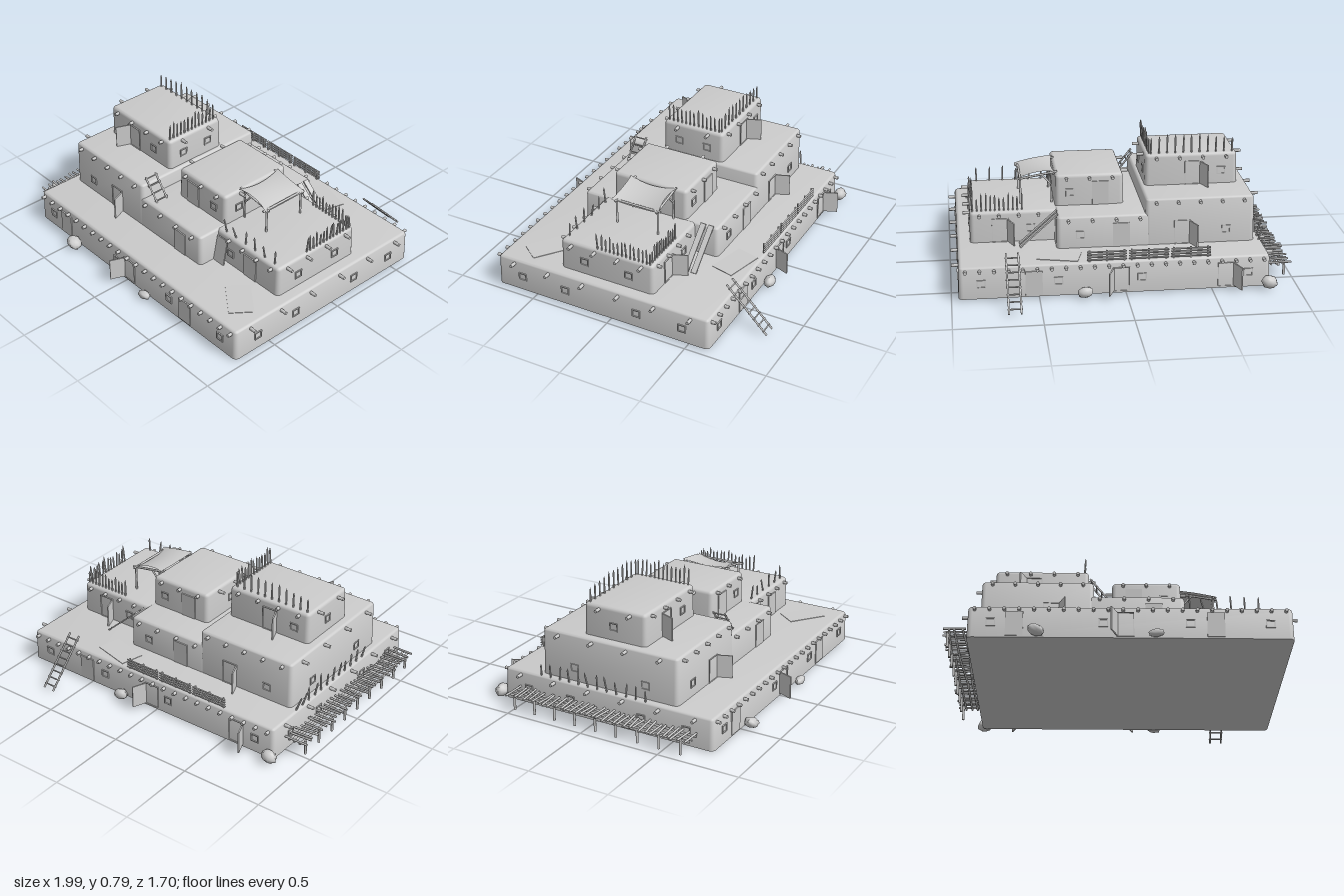
import * as THREE from 'three';
import { toCreasedNormals } from 'three/addons/utils/BufferGeometryUtils.js';

const MAT = new THREE.MeshStandardMaterial({ color: 0xcccccc, roughness: 0.9 });
const THIN = new THREE.MeshStandardMaterial({ color: 0xcccccc, roughness: 0.9, side: THREE.DoubleSide });
const V = (x, y, z) => new THREE.Vector3(x, y, z);
const UP = V(0, 1, 0);
const span = (a, b, n) => Array.from({ length: n }, (_, i) => a + (b - a) * i / (n - 1));

let seed = 7;
const rnd = (a, b) => {
  seed = (seed * 16807) % 2147483647;
  return a + (b - a) * (seed / 2147483647);
};

function add(parent, name, geo, mat = MAT) {
  const m = new THREE.Mesh(geo, mat);
  m.name = name;
  parent.add(m);
  return m;
}
function group(parent, name) {
  const g = new THREE.Group();
  g.name = name;
  parent.add(g);
  return g;
}
// Stand a mesh along the line from a to b
function align(m, a, b) {
  m.position.lerpVectors(a, b, 0.5);
  m.quaternion.setFromUnitVectors(UP, b.clone().sub(a).normalize());
}
const pole = (parent, name, a, b, r = 0.006) =>
  align(add(parent, name, new THREE.CylinderGeometry(r, r, a.distanceTo(b), 6)), a, b);
const plank = (parent, a, b, w, d) =>
  align(add(parent, 'plank', new THREE.BoxGeometry(w, a.distanceTo(b), d)), a, b);

// Row of sharpened stakes from a to b, each leaning by a random share of leanX and leanZ
function stakes(parent, a, b, n, height, leanX, leanZ) {
  for (const t of span(0, 1, n)) {
    const h = height * rnd(0.68, 1), r = 0.0055;
    const profile = [[0, -0.02], [r, -0.02], [r, h * 0.8], [0, h]].map(p => new THREE.Vector2(...p));
    const m = add(parent, 'stake', toCreasedNormals(new THREE.LatheGeometry(profile, 6), 0.4));
    m.position.lerpVectors(a, b, t);
    m.rotation.set(leanX * rnd(-1, 1), 0, leanZ * rnd(-0.3, 1));
  }
}

// Mud-brick block: stacked rounded-rectangle rings with a soft roof edge
function blockGeometry({ x0, x1, y0, y1, z0, z1 }) {
  const r = 0.02, rc = 0.028, n = 20, pos = [], idx = [];
  const levels = [[y0, 0]];
  for (const a of span(0, Math.PI / 2, 5))
    levels.push([y1 - r + r * Math.sin(a), 0.004 + r * (1 - Math.cos(a))]);
  for (const [y, inset] of levels)
    for (let c = 0; c < 4; c++)
      for (const a of span(c * Math.PI / 2, (c + 1) * Math.PI / 2, 5)) {
        const cx = c === 0 || c === 3 ? x1 - rc : x0 + rc;
        const cz = c < 2 ? z1 - rc : z0 + rc;
        pos.push(cx + (rc - inset) * Math.cos(a), y, cz + (rc - inset) * Math.sin(a));
      }
  const top = (levels.length - 1) * n;
  for (let l = 0; l < top; l += n)
    for (let i = 0; i < n; i++) {
      const a = l + i, b = l + (i + 1) % n;
      idx.push(a, a + n, b, b, a + n, b + n);
    }
  for (let i = 1; i < n - 1; i++) idx.push(top, top + i + 1, top + i, 0, i, i + 1);
  const g = new THREE.BufferGeometry();
  g.setAttribute('position', new THREE.Float32BufferAttribute(pos, 3));
  g.setIndex(idx);
  return toCreasedNormals(g, 0.7);
}

// Rectangular frame around a door or window
function frame(parent, w, h, t) {
  const corners = (a, c) => [[-a, -c], [a, -c], [a, c], [-a, c]].map(p => new THREE.Vector2(...p));
  const s = new THREE.Shape(corners(w / 2, h / 2));
  s.holes.push(new THREE.Path(corners(w / 2 - t, h / 2 - t)));
  add(parent, 'frame', new THREE.ExtrudeGeometry(s, { depth: 0.014, bevelEnabled: false })).position.z = -0.01;
}

// One storey: walls plus helpers that fit windows, doors and beam ends to its sides
function storey(root, name, low, high) {
  const g = group(root, name);
  const b = { x0: low.x, x1: high.x, y0: low.y, y1: high.y, z0: low.z, z1: high.z };
  const sill = b.y0 + 0.012;
  add(g, 'walls', blockGeometry(b));
  // Group on a wall, its +z pointing outward
  const onWall = (side, u, y, part) => {
    const w = group(g, part), alongX = side === 'front' || side === 'back';
    if (alongX) w.position.set(u, y, side === 'front' ? b.z1 : b.z0);
    else w.position.set(side === 'right' ? b.x1 : b.x0, y, u);
    w.rotation.y = { front: 0, back: Math.PI, right: Math.PI / 2, left: -Math.PI / 2 }[side];
    return w;
  };
  return {
    windows(side, ...us) {
      for (const u of us) frame(onWall(side, u, sill + 0.078, 'window'), 0.052, 0.048, 0.006);
      return this;
    },
    // hinge -1 or 1 swings the leaf open on that side, 0 keeps it shut
    door(side, u, hinge = 0) {
      const d = onWall(side, u, sill + 0.07, 'door');
      frame(d, 0.098, 0.146, 0.004);
      const leaf = add(d, 'doorLeaf', new THREE.BoxGeometry(0.09, 0.138, 0.008).translate(-hinge * 0.045, 0, 0));
      leaf.position.x = hinge * 0.045;
      leaf.rotation.y = hinge * 1.95;
      return this;
    },
    // beam ends spaced evenly along the given sides
    beams(pitch, out, ...sides) {
      for (const side of sides) {
        const [a, c] = side === 'front' || side === 'back' ? [b.x0, b.x1] : [b.z0, b.z1];
        const n = Math.round((c - a) / pitch), edge = (c - a) / n / 2;
        for (const u of span(a + edge, c - edge, n)) {
          const peg = add(onWall(side, u, b.y1 - 0.023, 'roofBeam'), 'beamEnd', new THREE.CylinderGeometry(0.01, 0.01, out + 0.03, 7));
          peg.rotation.x = Math.PI / 2;
          peg.position.z = (out - 0.03) / 2;
        }
      }
      return this;
    },
  };
}

function ladder(parent, name, foot, head, across, rungs) {
  const g = group(parent, name);
  for (const s of [-0.5, 0.5])
    pole(g, 'rail', foot.clone().addScaledVector(across, s), head.clone().addScaledVector(across, s));
  for (const t of span(0.08, 0.92, rungs)) {
    const c = foot.clone().lerp(head, t);
    pole(g, 'rung', c.clone().addScaledVector(across, -0.62), c.clone().addScaledVector(across, 0.62), 0.0045);
  }
}

function boulder(parent, x, z, sx, sy, sz, tilt) {
  const rock = new THREE.SphereGeometry(1, 10, 7), p = rock.attributes.position, v = V(0, 0, 0);
  for (let i = 0; i < p.count; i++) {
    v.fromBufferAttribute(p, i);
    v.multiplyScalar(1 + 0.1 * Math.sin(3 * v.x + 5 * v.y + x * 9) * Math.cos(4 * v.z));
    p.setXYZ(i, v.x, v.y, v.z);
  }
  rock.computeVertexNormals();
  const m = add(parent, 'boulder', rock);
  m.scale.set(sx, sy, sz);
  m.rotation.z = tilt;
  m.position.set(x, sy + 0.006, z);
}

export function createModel() {
  const root = new THREE.Group();
  root.name = 'adobeDwelling';

  // Stacked storeys
  const ground = storey(root, 'groundFloor', V(-0.84, 0.01, -0.63), V(0.96, 0.2, 0.76));
  for (const side of ['front', 'back'])
    ground.windows(side, -0.71, -0.09, 0.39, 0.83).door(side, -0.58, side === 'back' ? 1 : 0).door(side, 0.03, -1).door(side, 0.53);
  for (const side of ['left', 'right']) ground.windows(side, -0.46, -0.17, 0.3, 0.59);
  ground.beams(0.083, 0.022, 'front', 'back').beams(0.25, 0.036, 'left', 'right');

  storey(root, 'rightHandSecondFloor', V(-0.79, 0.19, -0.39), V(-0.14, 0.48, 0.51))
    .door('front', -0.385, 1).door('back', -0.36, 1).windows('front', -0.62).windows('back', -0.62)
    .windows('left', -0.17, 0.3).beams(0.13, 0.022, 'front', 'back').beams(0.23, 0.036, 'left');
  storey(root, 'middleSecondFloor', V(-0.18, 0.19, -0.39), V(0.38, 0.39, 0.51))
    .door('front', 0.2).door('back', 0).windows('back', 0.24).beams(0.13, 0.022, 'front', 'back');
  storey(root, 'leftHandSecondFloor', V(0.3, 0.19, -0.24), V(0.88, 0.387, 0.37))
    .door('front', 0.65).door('back', 0.7, 1).windows('front', 0.485).windows('back', 0.52)
    .windows('right', -0.08, 0.21).beams(0.12, 0.022, 'front', 'back').beams(0.15, 0.036, 'right');
  storey(root, 'rightHandThirdFloor', V(-0.73, 0.47, -0.14), V(-0.17, 0.67, 0.27))
    .door('front', -0.5, -1).door('back', -0.46, 1).windows('front', -0.32).windows('back', -0.63)
    .windows('right', -0.03, 0.16).windows('left', 0.06)
    .beams(0.14, 0.022, 'front', 'back').beams(0.2, 0.036, 'left', 'right');
  storey(root, 'middleThirdFloor', V(-0.04, 0.38, -0.18), V(0.37, 0.578, 0.31))
    .door('front', 0.09).door('back', 0.1).windows('front', 0.27).windows('back', 0.28)
    .windows('right', 0.2).windows('left', 0.06)
    .beams(0.14, 0.022, 'front', 'back').beams(0.25, 0.036, 'left', 'right');

  // Sharpened stakes along the roof edges
  const st = group(root, 'roofStakes');
  stakes(st, V(-0.7, 0.67, -0.11), V(-0.21, 0.67, -0.11), 11, 0.125, 0, 0.03);
  stakes(st, V(-0.2, 0.67, -0.1), V(-0.2, 0.67, 0.24), 13, 0.125, 0, -0.1);
  stakes(st, V(0.57, 0.387, -0.21), V(0.86, 0.387, -0.21), 12, 0.115, 0, 0.04);
  stakes(st, V(0.86, 0.387, -0.19), V(0.86, 0.387, 0.13), 13, 0.115, 0, -0.12);
  stakes(st, V(0.42, 0.387, 0.34), V(0.82, 0.387, 0.34), 6, 0.1, 0.3, 0.35);
  stakes(st, V(-0.82, 0.2, -0.38), V(-0.82, 0.2, 0.32), 12, 0.115, 0.2, 0.3);

  // Cloth awning sagging between poles
  const aw = group(root, 'awning');
  const cloth = new THREE.PlaneGeometry(2, 2, 14, 14).rotateX(-Math.PI / 2), cp = cloth.attributes.position;
  for (let i = 0; i < cp.count; i++) {
    const u = cp.getX(i), v = cp.getZ(i), bu = 1 - u * u, bv = 1 - v * v;
    cp.setXYZ(i, 0.475 + 0.115 * u * (1 - 0.14 * bv), 0.565 - 0.02 * u - 0.018 * bv + 0.012 * bu, 0.04 + 0.155 * v * (1 - 0.1 * bu));
  }
  cloth.computeVertexNormals();
  add(aw, 'cloth', cloth, THIN);
  for (const z of [-0.1, 0.17]) {
    pole(aw, 'post', V(0.57, 0.38, z), V(0.57, 0.548, z), 0.007);
    pole(aw, 'rafter', V(0.35, 0.578, z), V(0.59, 0.538, z), 0.007);
    pole(aw, 'wallPost', V(0.385, 0.38, z), V(0.385, 0.575, z));
    pole(aw, 'brace', V(0.388, 0.5, z), V(0.44, 0.56, z));
  }
  pole(aw, 'crossbar', V(0.57, 0.54, -0.12), V(0.57, 0.54, 0.2), 0.007);

  // Ladders
  ladder(root, 'backLadder', V(0.65, 0.007, -0.855), V(0.65, 0.27, -0.6), V(0.07, 0, 0), 8);
  ladder(root, 'roofLadder', V(-0.06, 0.388, 0.425), V(-0.165, 0.52, 0.425), V(0, 0, 0.075), 4);

  // Low drying rack beside the side wall
  const rack = group(root, 'dryingRack');
  const near = c => c + rnd(-0.012, 0.012);
  for (const x of span(-0.95, -0.86, 3))
    for (const z of span(-0.31, 0.46, 3))
      pole(rack, 'longPole', V(near(x), 0.094, z - 0.21), V(near(x), 0.094, z + 0.21), 0.007);
  for (const z of span(-0.51, 0.65, 34))
    pole(rack, 'crossPole', V(near(-0.98), 0.105, near(z)), V(near(-0.845), 0.105, near(z)), 0.0065);
  for (const z of span(-0.48, 0.62, 9)) pole(rack, 'post', V(-0.955, 0.012, z), V(-0.955, 0.1, z), 0.008);

  // Slatted fences along the rear roof edge
  for (const x of span(-0.375, 0.11, 3)) {
    const f = group(root, 'rearFence');
    for (const y of span(0.212, 0.258, 4)) pole(f, 'slat', V(x - 0.115, y, -0.612), V(x + 0.115, y, -0.612), 0.005);
    for (const px of span(x - 0.1, x + 0.1, 3)) pole(f, 'post', V(px, 0.19, -0.605), V(px, 0.265, -0.605));
  }

  // Leaning planks
  const pl = group(root, 'leaningPlanks');
  for (const z of [-0.34, -0.29]) plank(pl, V(0.59, 0.203, z), V(0.37, 0.4, z), 0.008, 0.034);
  plank(pl, V(0.425, 0.2, 0.408), V(0.425, 0.36, 0.376), 0.085, 0.008);

  // Flat mats on the lower roof
  for (const [x, z, turn] of [[0.375, -0.5, -0.25], [0.75, 0.54, -0.65]]) {
    const m = add(root, 'mat', new THREE.BoxGeometry(0.24, 0.004, 0.145));
    m.position.set(x, 0.201, z);
    m.rotation.y = turn;
  }

  // Boulders by the walls
  boulder(root, -0.83, -0.66, 0.048, 0.038, 0.038, 0.3);
  boulder(root, 0.24, -0.665, 0.046, 0.03, 0.032, -0.2);
  boulder(root, -0.46, 0.8, 0.05, 0.03, 0.042, -0.4);
  boulder(root, 0.2, 0.79, 0.045, 0.022, 0.026, 0.1);
  return root;
}
